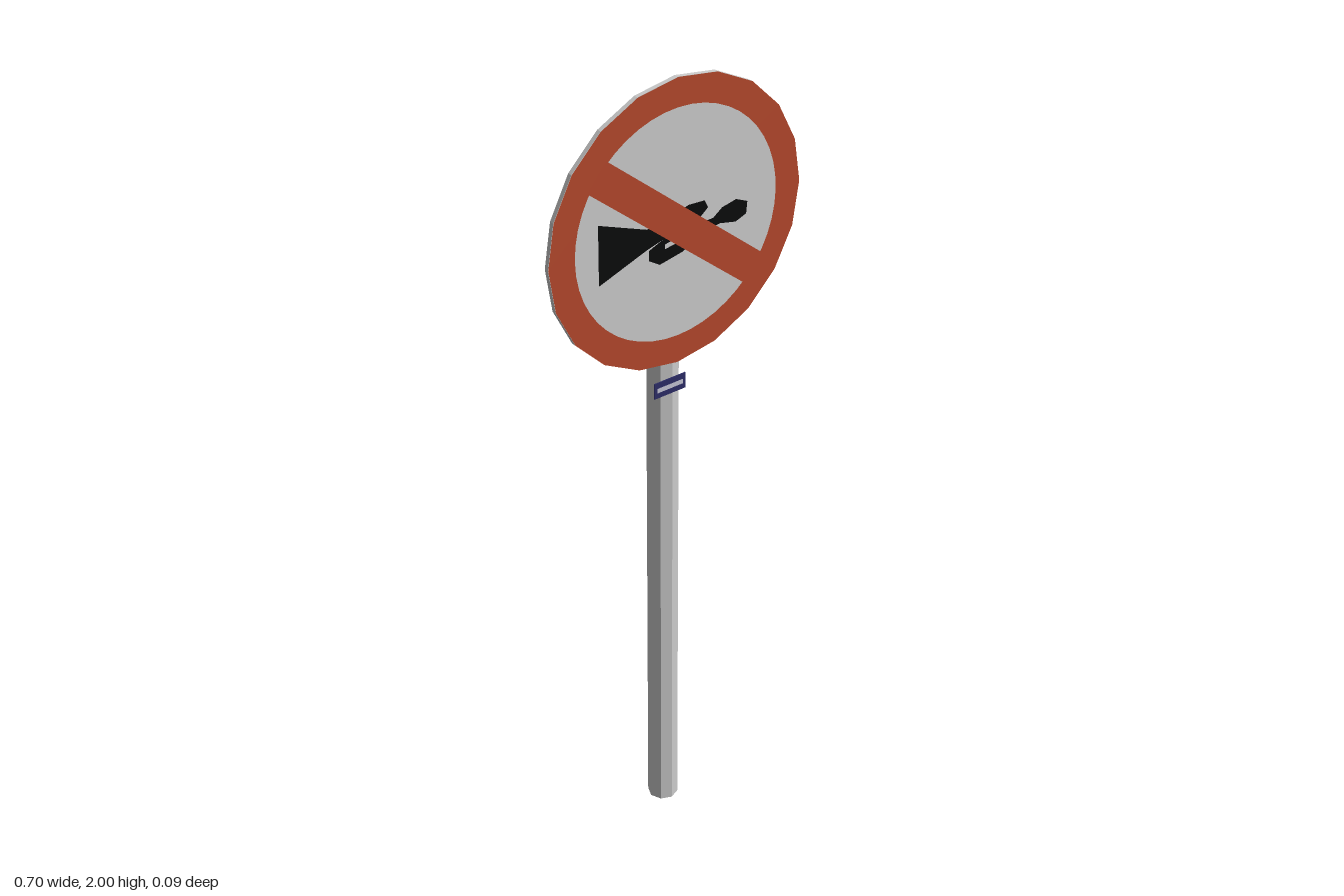
import * as THREE from 'three';

const CY = 1.65, R = 0.35, FRONT = 0.0395;

function mat(name, color, flatShading = false) {
  const m = new THREE.MeshStandardMaterial({ color, flatShading });
  m.name = name;
  return m;
}

// Regular polygon with its first corner at the top
function polygon(radius, sides) {
  return Array.from({ length: sides }, (_, i) => {
    const a = Math.PI / 2 + (i * 2 * Math.PI) / sides;
    return new THREE.Vector2(radius * Math.cos(a), radius * Math.sin(a));
  });
}

const outline = (points) => new THREE.Shape(points.map(([x, y]) => new THREE.Vector2(x, y)));

export function createModel() {
  const metal = mat('grey metal', 0xcccccc, true);
  const white = mat('sign white', 0xcccccc);
  const red = mat('sign red', 0xb5482c);
  const black = mat('symbol black', 0x0a0b0c);
  const navy = mat('label navy', 0x2c2c66);
  const pale = mat('label pale', 0xc4c4d4);

  const group = new THREE.Group();
  group.name = 'roadSign';
  const add = (name, geometry, material, x = 0, y = 0, z = 0) => {
    const mesh = new THREE.Mesh(geometry, material);
    mesh.name = name;
    mesh.position.set(x, y, z);
    group.add(mesh);
    return mesh;
  };

  // Eight-sided post behind the sign
  add('post', new THREE.CylinderGeometry(0.0375, 0.0375, 1.91, 8), metal, 0, 0.955, -0.0145);

  // Twenty-sided plate
  const plate = new THREE.ExtrudeGeometry(new THREE.Shape(polygon(R, 20)), {
    depth: FRONT - 0.028, bevelEnabled: false,
  });
  add('plate', plate, metal, 0, CY, 0.028);

  // Painted face and red border
  add('face', new THREE.CircleGeometry(0.285, 48), white, 0, CY, FRONT + 0.0004);
  const ring = new THREE.Shape(polygon(R, 20));
  ring.holes.push(new THREE.Path(polygon(0.28, 48)));
  add('border', new THREE.ShapeGeometry(ring), red, 0, CY, FRONT + 0.0012);

  // Horn symbol: bell with its tube, and the hand squeezing the bulb
  const bell = outline([
    [-0.217, 0.066], [-0.085, 0.014], [0.0, 0.03], [0.03, 0.038], [0.075, 0.035],
    [0.085, 0.015], [0.06, -0.005], [0.0, -0.014], [-0.085, -0.036], [-0.217, -0.082],
  ]);
  const hand = outline([
    [-0.08, -0.04], [-0.03, -0.02], [0.1, -0.016], [0.125, 0.002], [0.165, 0.01],
    [0.198, -0.005], [0.195, -0.035], [0.165, -0.046], [0.12, -0.036], [0.06, -0.042],
    [0.015, -0.072], [-0.05, -0.084], [-0.08, -0.065],
  ]);
  hand.holes.push(new THREE.Path(
    [[-0.035, -0.038], [-0.008, -0.034], [-0.008, -0.046], [-0.035, -0.05]]
      .map(([x, y]) => new THREE.Vector2(x, y))));
  add('hornBell', new THREE.ShapeGeometry(bell), black, 0, CY, FRONT + 0.0008);
  add('hornHand', new THREE.ShapeGeometry(hand), black, 0, CY, FRONT + 0.0008);

  // Diagonal prohibition bar
  const bar = add('bar', new THREE.PlaneGeometry(0.57, 0.08), red, 0, CY, FRONT + 0.0015);
  bar.rotation.z = -0.69;

  // Small plain label on the post
  add('label', new THREE.BoxGeometry(0.09, 0.04, 0.003), navy, -0.011, 1.234, 0.0265);
  add('labelStripe', new THREE.PlaneGeometry(0.075, 0.012), pale, -0.011, 1.234, 0.0285);

  return group;
}
